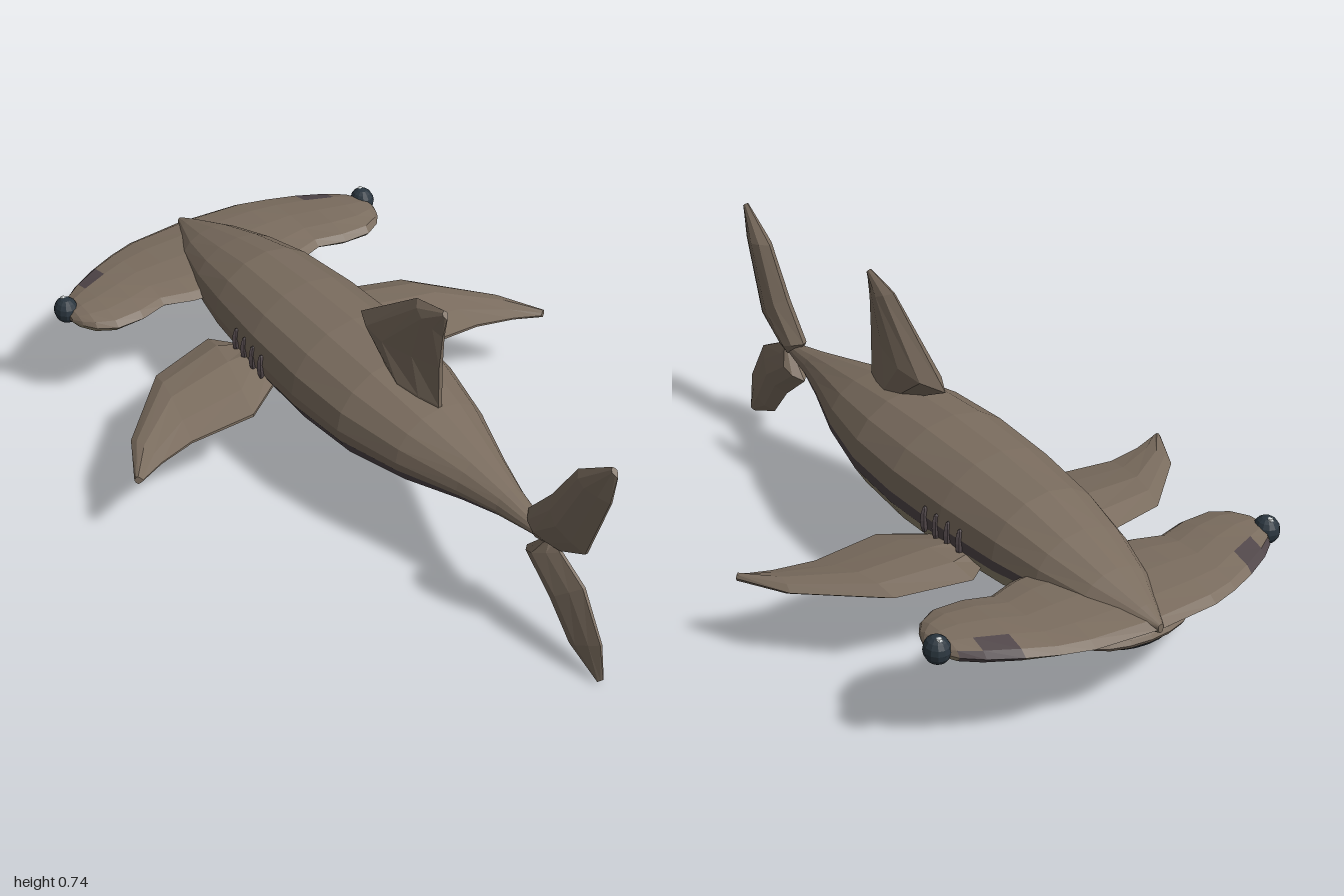
import * as THREE from 'three';

const mat = (name, color) => {
  const m = new THREE.MeshStandardMaterial({ color });
  m.name = name;
  return m;
};
const V = (x, y, z) => new THREE.Vector3(x, y, z);

// Skin closed rings of points into a flat-shaded solid; pick(i, j) chooses the material of each quad.
function loft(name, rings, mats, pick = () => 0) {
  const tris = mats.map(() => []);
  const n = rings[0].length;
  for (let i = 0; i < rings.length - 1; i++) {
    for (let j = 0; j < n; j++) {
      const k = (j + 1) % n;
      const a = rings[i][j], b = rings[i][k], c = rings[i + 1][k], d = rings[i + 1][j];
      tris[pick(i, j)].push([a, b, c], [a, c, d]);
    }
  }
  for (const end of [0, rings.length - 1]) {
    const r = rings[end];
    const mid = r.reduce((s, p) => s.add(p), V(0, 0, 0)).divideScalar(n);
    for (let j = 0; j < n; j++) {
      const a = r[j], b = r[(j + 1) % n];
      tris[0].push(end ? [mid, a, b] : [mid, b, a]);
    }
  }
  // Turn the faces outward if the enclosed volume is negative
  const cross = V(0, 0, 0);
  let volume = 0;
  for (const t of tris.flat()) volume += t[0].dot(cross.crossVectors(t[1], t[2]));
  const pos = [];
  const geo = new THREE.BufferGeometry();
  tris.forEach((list, m) => {
    geo.addGroup(pos.length / 3, list.length * 3, m);
    for (const t of list) {
      for (const p of volume < 0 ? [t[0], t[2], t[1]] : t) pos.push(p.x, p.y, p.z);
    }
  });
  geo.setAttribute('position', new THREE.Float32BufferAttribute(pos, 3));
  geo.computeVertexNormals();
  const mesh = new THREE.Mesh(geo, mats);
  mesh.name = name;
  return mesh;
}

// Fin with a lens-shaped section between matching leading and trailing edge points
function fin(name, lead, trail, thick, normal, material) {
  const lens = [[0, 0], [0.2, 0.75], [0.45, 1], [0.75, 0.6], [1, 0.12],
    [1, -0.12], [0.75, -0.6], [0.45, -1], [0.2, -0.75]];
  const rings = lead.map((l, i) => lens.map(([t, h]) =>
    l.clone().lerp(trail[i], t).addScaledVector(normal, h * thick[i])));
  return loft(name, rings, [material]);
}

export function createModel() {
  const skin = mat('skin brown', 0x7b6d5f);
  const belly = mat('belly tan', 0x91866f);
  const stripe = mat('stripe dark brown', 0x51474a);
  const eyeDark = mat('eye slate', 0x2a353e);
  const mouthDark = mat('mouth dark', 0x20262c);
  const glint = mat('glint pale', 0xd8dcdc);
  const shark = new THREE.Group();
  shark.name = 'hammerheadShark';

  const ball = (name, material, p, s, ws = 12, hs = 8) => {
    const geo = new THREE.SphereGeometry(1, ws, hs).toNonIndexed();
    geo.computeVertexNormals();
    const m = new THREE.Mesh(geo, material);
    m.name = name;
    m.position.set(...p);
    m.scale.set(...s);
    shark.add(m);
  };

  // Body sections: z, half width, top, bottom
  const sections = [
    [-1, 0.008, 0.325, 0.3], [-0.94, 0.04, 0.348, 0.285], [-0.82, 0.1, 0.388, 0.255],
    [-0.68, 0.143, 0.428, 0.218], [-0.53, 0.17, 0.462, 0.18], [-0.32, 0.192, 0.478, 0.166],
    [-0.1, 0.2, 0.482, 0.161], [0.1, 0.188, 0.47, 0.174], [0.3, 0.142, 0.434, 0.21],
    [0.48, 0.08, 0.392, 0.259], [0.6, 0.045, 0.364, 0.285], [0.7, 0.026, 0.342, 0.3],
    [0.77, 0.012, 0.33, 0.308],
  ];
  const right = [90, 65, 42, 20, 0, -14, -38, -64];
  const angles = [...right, -90, ...right.slice(1).reverse().map((a) => 180 - a)];
  const bodyRings = sections.map(([z, w, top, bot]) => angles.map((deg) => {
    const a = THREE.MathUtils.degToRad(deg);
    const s = Math.sin(a);
    return V(w * Math.cos(a), 0.317 + s * (s > 0 ? top - 0.317 : 0.317 - bot), z);
  }));
  shark.add(loft('body', bodyRings, [skin, belly, stripe], (i, j) => {
    if (j === 4 || j === 10) return i > 1 && i < 10 ? 2 : 0;
    return j > 4 && j < 10 ? 1 : 0;
  }));

  // Hammer head sections: x, front z, back z, half height
  const half = [
    [0, -1, -0.61, 0.03], [0.18, -0.985, -0.63, 0.031], [0.26, -0.96, -0.658, 0.028],
    [0.34, -0.925, -0.635, 0.033], [0.42, -0.88, -0.635, 0.033], [0.47, -0.84, -0.665, 0.029],
    [0.495, -0.8, -0.7, 0.02], [0.508, -0.768, -0.735, 0.007],
  ];
  const head = [...half.slice(1).reverse().map(([x, ...r]) => [-x, ...r]), ...half];
  const headRings = head.map(([x, f, b, h]) => Array.from({ length: 12 }, (_, j) => {
    const a = (j / 12) * Math.PI * 2;
    return V(x, 0.31 + h * Math.sin(a), (f + b) / 2 + ((f - b) / 2) * Math.cos(a));
  }));
  shark.add(loft('hammerHead', headRings, [skin, belly, stripe], (i, j) => {
    const cell = Math.min(i, 13 - i); // counted from the nearer tip
    const fromFront = Math.min(j, 11 - j);
    // nostril patches on the leading edge
    if ((cell === 3 && fromFront < 2) || (cell === 2 && fromFront < 1)) return 2;
    return j >= 6 ? 1 : 0;
  }));

  // Mouth under the head
  ball('jaw', skin, [0, 0.265, -0.895], [0.16, 0.028, 0.075], 16, 8);
  ball('mouth', mouthDark, [0, 0.249, -0.91], [0.1, 0.018, 0.048], 16, 8);

  for (const s of [1, -1]) {
    // Eyes at the tips of the head
    ball('eye', eyeDark, [s * 0.5, 0.317, -0.787], [0.034, 0.038, 0.038]);
    ball('eyeGlint', glint, [s * 0.501, 0.348, -0.798], [0.01, 0.008, 0.01], 6, 4);

    // Gill slits
    for (let i = 0; i < 4; i++) {
      const z = -0.26 - i * 0.048;
      ball('gillSlit', stripe, [s * (0.193 - i * 0.004), 0.308, z], [0.014, 0.04, 0.009], 6, 6);
    }

    // Pectoral fins
    shark.add(fin('pectoralFin',
      [V(s * 0.13, 0.25, -0.44), V(s * 0.21, 0.262, -0.51), V(s * 0.41, 0.25, -0.457),
        V(s * 0.6, 0.23, -0.27), V(s * 0.675, 0.223, -0.125)],
      [V(s * 0.13, 0.245, -0.27), V(s * 0.28, 0.24, -0.165), V(s * 0.47, 0.228, -0.172),
        V(s * 0.58, 0.224, -0.145), V(s * 0.655, 0.222, -0.113)],
      [0.036, 0.036, 0.028, 0.019, 0.012], V(0, 1, 0), skin));
  }

  // Dorsal fin
  const side = V(1, 0, 0);
  shark.add(fin('dorsalFin',
    [V(0, 0.43, 0.1), V(0, 0.465, 0.06), V(0, 0.53, -0.063), V(0, 0.715, 0.19), V(0, 0.742, 0.305)],
    [V(0, 0.4, 0.295), V(0, 0.44, 0.297), V(0, 0.56, 0.297), V(0, 0.66, 0.306), V(0, 0.722, 0.32)],
    [0.046, 0.046, 0.046, 0.024, 0.008], side, skin));

  // Tail lobes
  shark.add(fin('upperTailLobe',
    [V(0, 0.315, 0.7), V(0, 0.355, 0.675), V(0, 0.46, 0.765), V(0, 0.597, 0.855), V(0, 0.683, 0.978)],
    [V(0, 0.305, 0.77), V(0, 0.31, 0.81), V(0, 0.365, 0.905), V(0, 0.575, 0.983), V(0, 0.664, 1)],
    [0.022, 0.034, 0.038, 0.028, 0.008], side, skin));
  shark.add(fin('lowerTailLobe',
    [V(0, 0.31, 0.745), V(0, 0.236, 0.675), V(0, 0.15, 0.78), V(0, 0.055, 0.858), V(0, 0.002, 0.98)],
    [V(0, 0.315, 0.78), V(0, 0.305, 0.81), V(0, 0.255, 0.905), V(0, 0.125, 0.983), V(0, 0.022, 1)],
    [0.015, 0.034, 0.036, 0.026, 0.008], side, skin));

  return shark;
}
